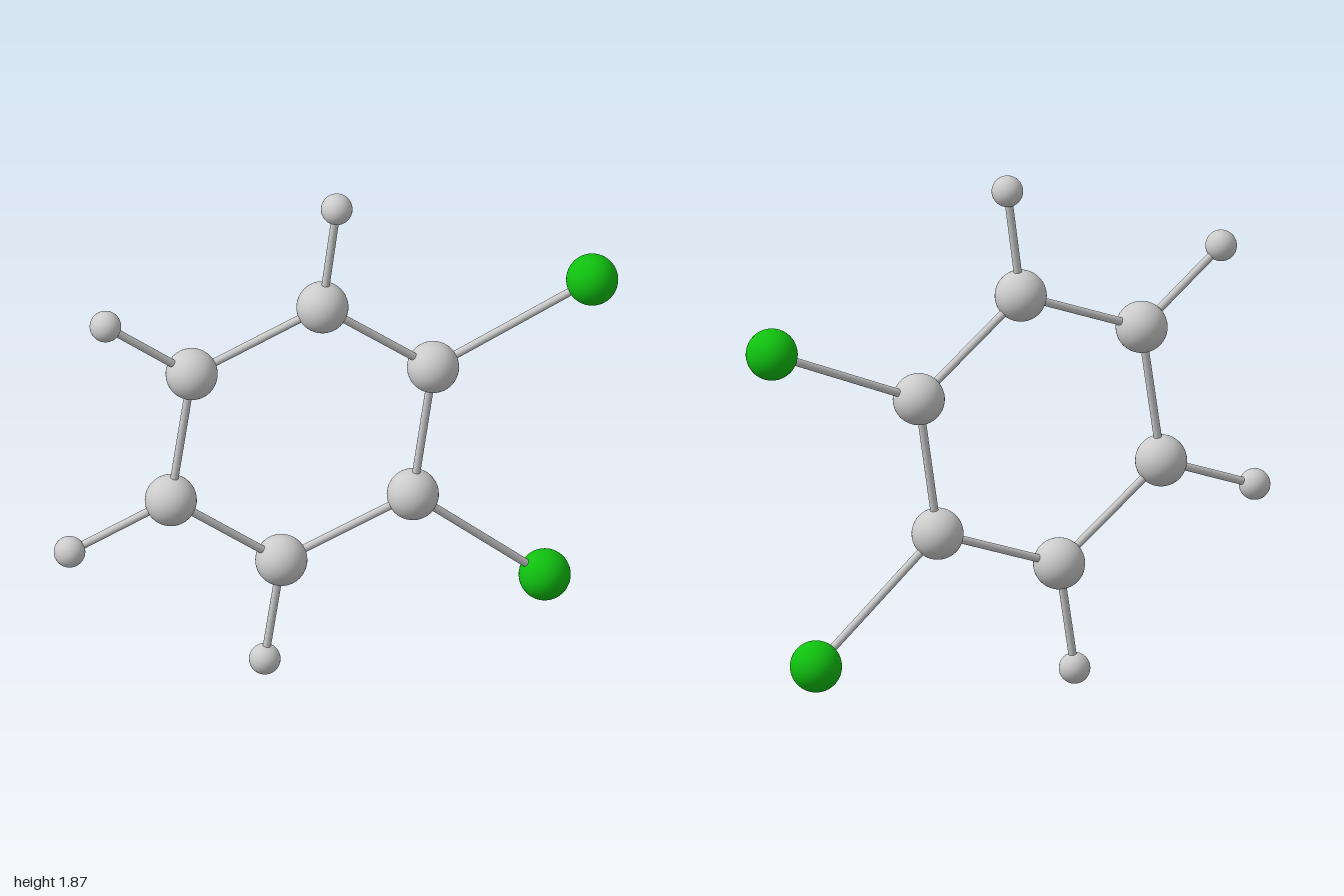
import * as THREE from 'three';

const grey = new THREE.MeshStandardMaterial({ color: 0xcccccc });
const green = new THREE.MeshStandardMaterial({ color: 0x10c010 });

// Atom centres: each ring atom carries one outer atom
const ring = [
  [-0.05, 1.435, 0.004], [0.344, 1.126, 0.003], [0.273, 0.628, 0],
  [-0.194, 0.444, -0.004], [-0.587, 0.752, -0.005], [-0.514, 1.246, -0.001],
].map(p => new THREE.Vector3(...p));
const outer = [
  [0, 1.82, 0.007], [0.909, 1.38, 0.008], [0.742, 0.225, 0.001],
  [-0.252, 0.057, -0.007], [-0.947, 0.607, -0.007], [-0.821, 1.49, -0.001],
].map(p => new THREE.Vector3(...p));

const largeBall = new THREE.SphereGeometry(0.089, 40, 28);
const smallBall = new THREE.SphereGeometry(0.054, 32, 22);
const UP = new THREE.Vector3(0, 1, 0);

function atom(name, geometry, material, position) {
  const mesh = new THREE.Mesh(geometry, material);
  mesh.name = name;
  mesh.position.copy(position);
  return mesh;
}

// Thin rod between two atom centres
function bond(name, a, b) {
  const dir = b.clone().sub(a);
  const mesh = new THREE.Mesh(new THREE.CylinderGeometry(0.014, 0.014, dir.length(), 16), grey);
  mesh.name = name;
  mesh.position.copy(a).add(b).multiplyScalar(0.5);
  mesh.quaternion.setFromUnitVectors(UP, dir.normalize());
  return mesh;
}

export function createModel() {
  const model = new THREE.Group();
  model.name = 'molecule';
  ring.forEach((p, i) => {
    const isGreen = i === 1 || i === 2;
    model.add(
      atom('carbonAtom', largeBall, grey, p),
      isGreen
        ? atom('chlorineAtom', largeBall, green, outer[i])
        : atom('hydrogenAtom', smallBall, grey, outer[i]),
      bond('ringBond', p, ring[(i + 1) % ring.length]),
      bond('outerBond', p, outer[i]),
    );
  });
  return model;
}
